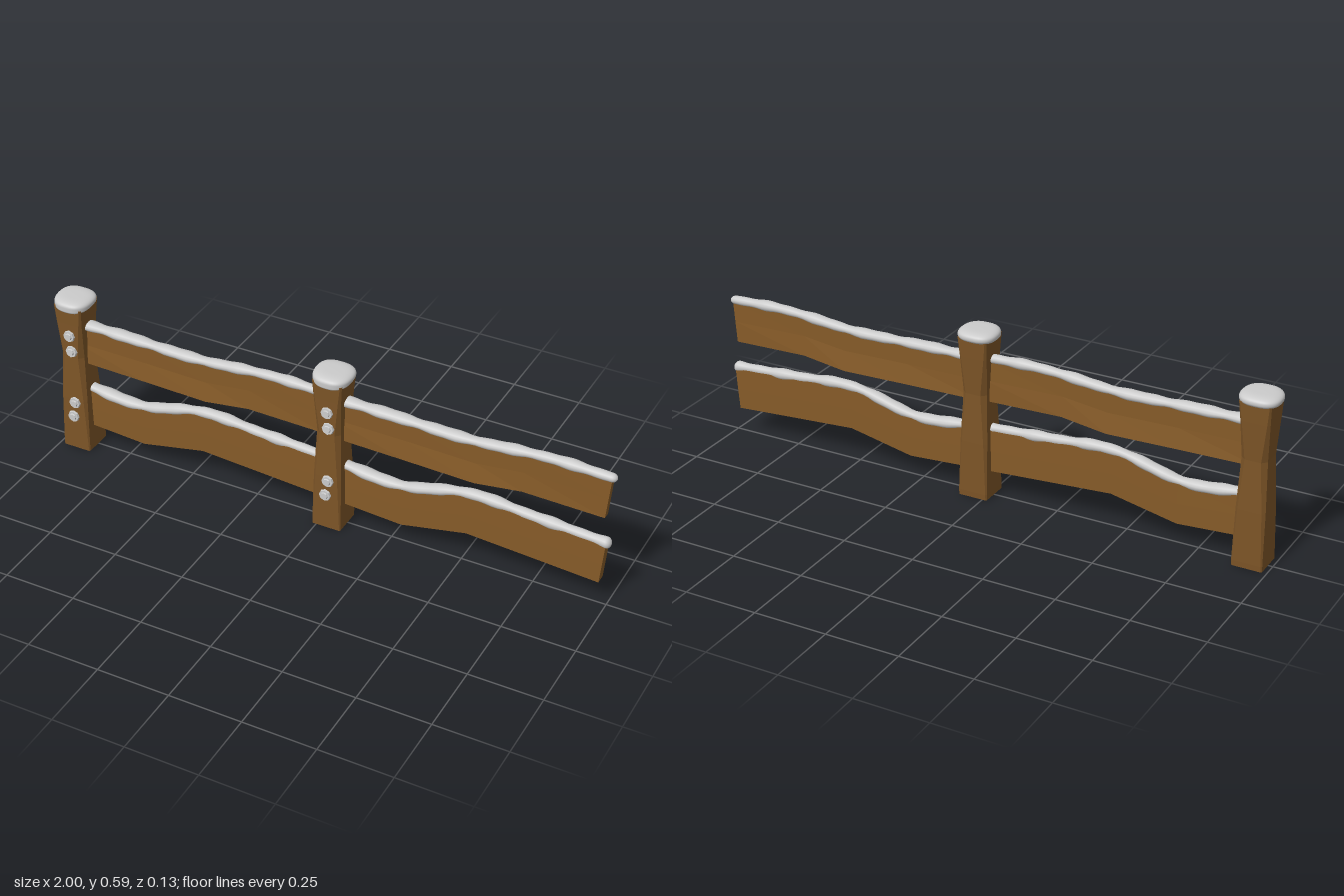
import * as THREE from 'three';

const postWood = new THREE.MeshStandardMaterial({ color: 0x7d5527, flatShading: true });
const railWood = new THREE.MeshStandardMaterial({ color: 0x865b28, flatShading: true });
const snow = new THREE.MeshStandardMaterial({ color: 0xcccccc });
const metal = new THREE.MeshStandardMaterial({ color: 0xcccccc, flatShading: true });

// Skin a list of equal-length rings of [x, y, z] points and close both ends
function loft(rings) {
  const n = rings[0].length, last = (rings.length - 1) * n, index = [];
  for (let i = 0; i < rings.length - 1; i++) {
    for (let j = 0; j < n; j++) {
      const a = i * n + j, b = i * n + (j + 1) % n;
      index.push(a, b, b + n, a, b + n, a + n);
    }
  }
  for (let j = 1; j < n - 1; j++) {
    index.push(0, j + 1, j, last, last + j, last + j + 1);
  }
  const g = new THREE.BufferGeometry();
  g.setAttribute('position', new THREE.Float32BufferAttribute(rings.flat(2), 3));
  g.setIndex(index);
  g.computeVertexNormals();
  return g;
}

function part(name, geometry, material) {
  const mesh = new THREE.Mesh(geometry, material);
  mesh.name = name;
  return mesh;
}

// Hewn post: square sections with cut corners, pinched above the middle
function postGeometry() {
  // y, x min, x max, z back, z front, corner cut
  const levels = [
    [0, -0.052, 0.052, -0.052, 0.055, 0.004],
    [0.02, -0.052, 0.052, -0.053, 0.055, 0.004],
    [0.2, -0.049, 0.05, -0.05, 0.054, 0.01],
    [0.37, -0.042, 0.044, -0.045, 0.05, 0.016],
    [0.5, -0.049, 0.049, -0.052, 0.053, 0.008],
    [0.565, -0.052, 0.054, -0.055, 0.055, 0.005],
  ];
  return loft(levels.map(([y, l, r, b, f, c]) => [
    [r, y, f - c], [r, y, b + c], [r - c, y, b], [l + c, y, b],
    [l, y, b + c], [l, y, f - c], [l + c, y, f], [r - c, y, f],
  ]));
}

// Plank rows: x, top y, bottom y, half thickness at top, middle and bottom
const upperRail = [
  [0.03, 0.48, 0.338, 0.014, 0.013, 0.016],
  [0.3, 0.476, 0.336, 0.014, 0.013, 0.021],
  [0.54, 0.472, 0.332, 0.015, 0.015, 0.024],
  [0.7, 0.49, 0.351, 0.014, 0.014, 0.019],
  [0.98, 0.486, 0.341, 0.011, 0.012, 0.013],
];
const lowerRail = [
  [0.03, 0.238, 0.092, 0.017, 0.018, 0.018],
  [0.29, 0.215, 0.075, 0.017, 0.018, 0.018],
  [0.52, 0.266, 0.122, 0.017, 0.018, 0.018],
  [0.75, 0.252, 0.107, 0.017, 0.018, 0.018],
  [0.98, 0.237, 0.092, 0.017, 0.018, 0.018],
];

function railGeometry(rows) {
  return loft(rows.map(([x, t, b, zt, zm, zb], i) => {
    const lean = i === rows.length - 1 ? 0.006 : 0; // slanted sawn end
    const m = (t + b) / 2;
    return [[x + lean, t, -zt], [x + lean, t, zt], [x, m, zm],
      [x - lean, b, zb], [x - lean, b, -zb], [x, m, -zm]];
  }));
}

// Lumpy snow roll lying along the top edge of a rail
function snowRollGeometry(rows, ry, rz, phase) {
  const curve = new THREE.CatmullRomCurve3(rows.map(([x, t]) => new THREE.Vector3(x, t + 0.003, 0)));
  const rings = [], steps = 70, x0 = 0.03, x1 = 0.999;
  for (let i = 0; i <= steps; i++) {
    const u = (1 - Math.cos(Math.PI * i / steps)) / 2;
    const x = x0 + (x1 - x0) * u;
    const y = curve.getPoint(Math.min(1, u)).y;
    const end = Math.min(1, (x1 - x) / 0.018);
    const round = Math.max(0.02, Math.sqrt(1 - (1 - end) ** 2));
    const lump = 1 + 0.1 * Math.sin(x * 31 + phase) + 0.07 * Math.sin(x * 67 + phase * 2);
    const width = rz * (1 - 0.28 * u);
    const ring = [];
    for (let j = 0; j < 14; j++) {
      const a = j / 14 * Math.PI * 2;
      ring.push([x, y + ry * round * lump * Math.cos(a), width * round * lump * Math.sin(a)]);
    }
    rings.push(ring);
  }
  return loft(rings);
}

// Pillow of snow on the post: a sphere squared off and flattened
function snowCapGeometry() {
  const g = new THREE.SphereGeometry(1, 40, 24), p = g.attributes.position;
  const power = (v, e) => Math.sign(v) * Math.abs(v) ** e;
  for (let i = 0; i < p.count; i++) {
    const y = p.getY(i), h = Math.hypot(p.getX(i), p.getZ(i)) || 1;
    const cx = p.getX(i) / h, cz = p.getZ(i) / h;
    const r = Math.sqrt(Math.max(0, 1 - y * y)) ** 0.5;
    const sx = power(cx, 0.75), sz = power(cz, 0.75);
    const taper = 1 - 0.1 * Math.max(0, sz); // narrower toward the front
    const droop = y < 0 ? -0.009 * Math.max(0, sz) * r : 0;
    p.setXYZ(i, 0.068 * r * sx * taper + 0.003 * sz * r,
      0.571 + 0.019 * power(y, 0.85) + droop, 0.067 * r * sz);
  }
  g.computeVertexNormals();
  // Average the normals across the seam of the sphere
  const n = g.attributes.normal;
  for (let row = 0; row <= 24; row++) {
    const a = row * 41, b = a + 40;
    const v = new THREE.Vector3().fromBufferAttribute(n, a)
      .add(new THREE.Vector3().fromBufferAttribute(n, b)).normalize();
    n.setXYZ(a, v.x, v.y, v.z);
    n.setXYZ(b, v.x, v.y, v.z);
  }
  return g;
}

// Faceted bolt: broad washer with a smaller head
function createBolt() {
  const bolt = new THREE.Group();
  bolt.name = 'bolt';
  const washer = part('boltWasher', new THREE.CylinderGeometry(0.02, 0.022, 0.012, 8), metal);
  const head = part('boltHead', new THREE.CylinderGeometry(0.011, 0.014, 0.006, 8), metal);
  washer.rotation.x = head.rotation.x = Math.PI / 2;
  head.position.z = 0.007;
  bolt.add(washer, head);
  return bolt;
}

// One bay: a post with its cap and bolts, and two rails running to the left
function createBay() {
  const bay = new THREE.Group();
  bay.name = 'fenceBay';
  const post = new THREE.Group();
  post.name = 'post';
  post.position.x = 0.036;
  post.add(part('postBeam', postGeometry(), postWood), part('snowCap', snowCapGeometry(), snow));
  for (const [x, y, z, tilt] of [[0.003, 0.456, 0.054, -0.03], [0.007, 0.396, 0.053, -0.08],
    [0.007, 0.19, 0.056, 0], [-0.002, 0.132, 0.056, 0]]) {
    const bolt = createBolt();
    bolt.position.set(x, y, z);
    bolt.rotation.x = tilt;
    post.add(bolt);
  }
  bay.add(
    post,
    part('upperRail', railGeometry(upperRail), railWood),
    part('lowerRail', railGeometry(lowerRail), railWood),
    part('upperRailSnow', snowRollGeometry(upperRail, 0.016, 0.025, 0.5), snow),
    part('lowerRailSnow', snowRollGeometry(lowerRail, 0.017, 0.024, 2.2), snow),
  );
  return bay;
}

export function createModel() {
  const fence = new THREE.Group();
  fence.name = 'snowyFence';
  for (const x of [0, -0.968]) {
    const bay = createBay();
    bay.position.x = x;
    fence.add(bay);
  }
  return fence;
}
